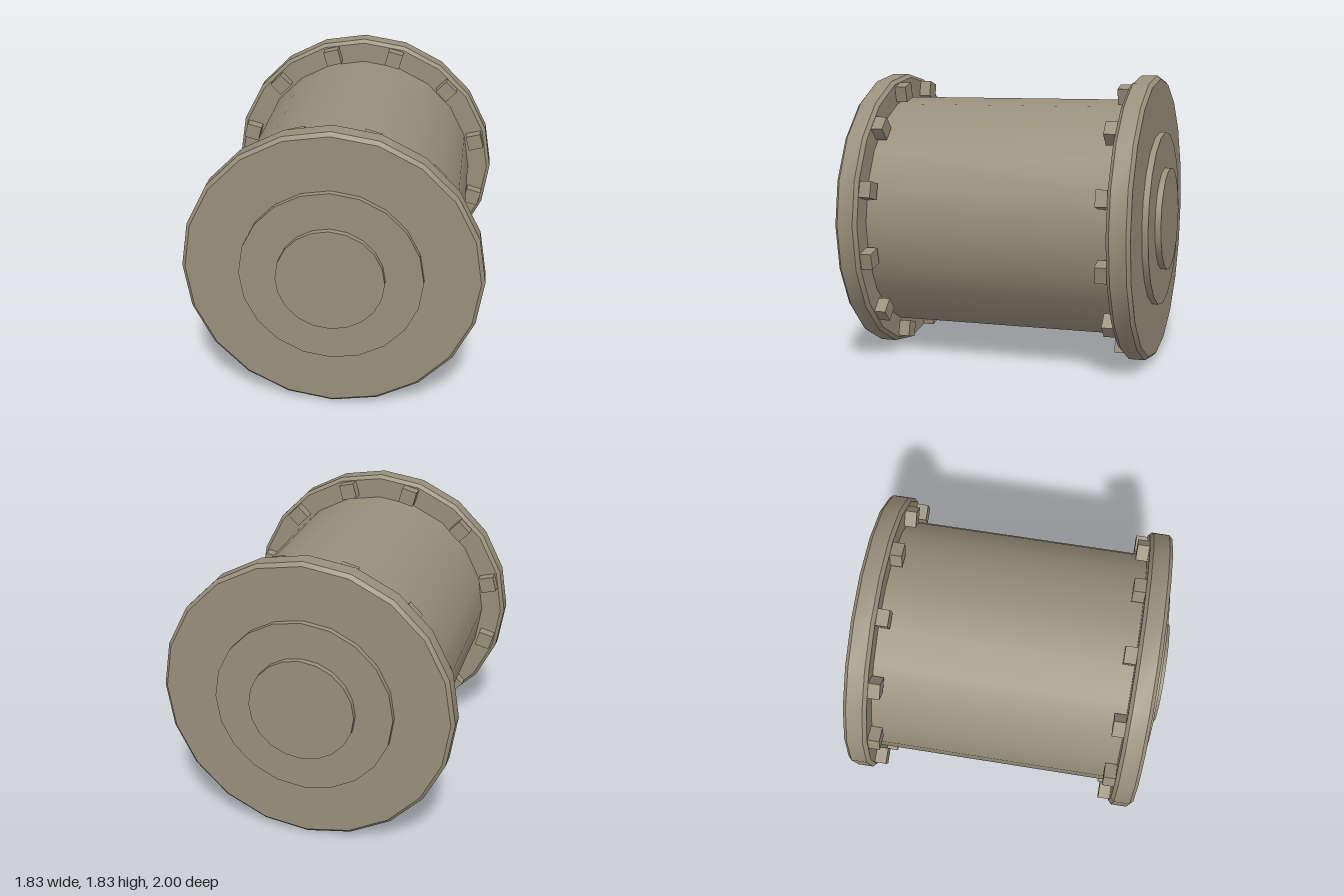
import * as THREE from 'three';
import { toCreasedNormals } from 'three/addons/utils/BufferGeometryUtils.js';

const SIDES = 20;
const CENTRE_Y = 0.9125;

export function createModel() {
  const model = new THREE.Group();
  model.name = 'flangedDrum';
  const metal = new THREE.MeshStandardMaterial({ color: 0x988f7b });
  metal.name = 'dull khaki metal';

  function add(parent, name, geometry) {
    const mesh = new THREE.Mesh(geometry, metal);
    mesh.name = name;
    parent.add(mesh);
    return mesh;
  }

  // Cylinder lying along z, from z0 to z1
  function disc(radius, z0, z1, open = false) {
    return new THREE.CylinderGeometry(radius, radius, z1 - z0, SIDES, 1, open)
      .rotateX(Math.PI / 2)
      .translate(0, 0, (z0 + z1) / 2);
  }

  // Barrel between the flanges
  const drum = new THREE.Group();
  drum.name = 'drum';
  drum.position.y = CENTRE_Y;
  model.add(drum);
  add(drum, 'barrel', disc(0.758, -0.79, 0.79, true));

  // Chamfered flange profile: radius, distance along the axis
  const profile = [
    [0, 0.78], [0.89, 0.78], [0.9125, 0.802],
    [0.9125, 0.903], [0.89, 0.925], [0, 0.925],
  ].map(([r, z]) => new THREE.Vector2(r, z));
  const flangeGeometry = toCreasedNormals(
    new THREE.LatheGeometry(profile, SIDES).rotateX(Math.PI / 2), Math.PI / 6);
  const outerPlate = disc(0.555, 0.92, 0.963);
  const hubPlate = disc(0.328, 0.955, 1);
  const boltGeometry = new THREE.BoxGeometry(0.103, 0.103, 0.08);

  // Two identical ends, the back one turned around
  for (const [name, turn] of [['frontEnd', 0], ['backEnd', Math.PI]]) {
    const end = new THREE.Group();
    end.name = name;
    end.rotation.y = turn;
    drum.add(end);
    add(end, 'flange', flangeGeometry);
    add(end, 'outerPlate', outerPlate);
    add(end, 'hubPlate', hubPlate);

    // Ring of square bolts on the inner face
    for (let i = 0; i < 12; i++) {
      const angle = ((i + 0.5) * Math.PI) / 6;
      const bolt = add(end, 'bolt', boltGeometry);
      bolt.position.set(0.825 * Math.cos(angle), 0.825 * Math.sin(angle), 0.746);
      bolt.rotation.z = angle;
    }
  }
  return model;
}
